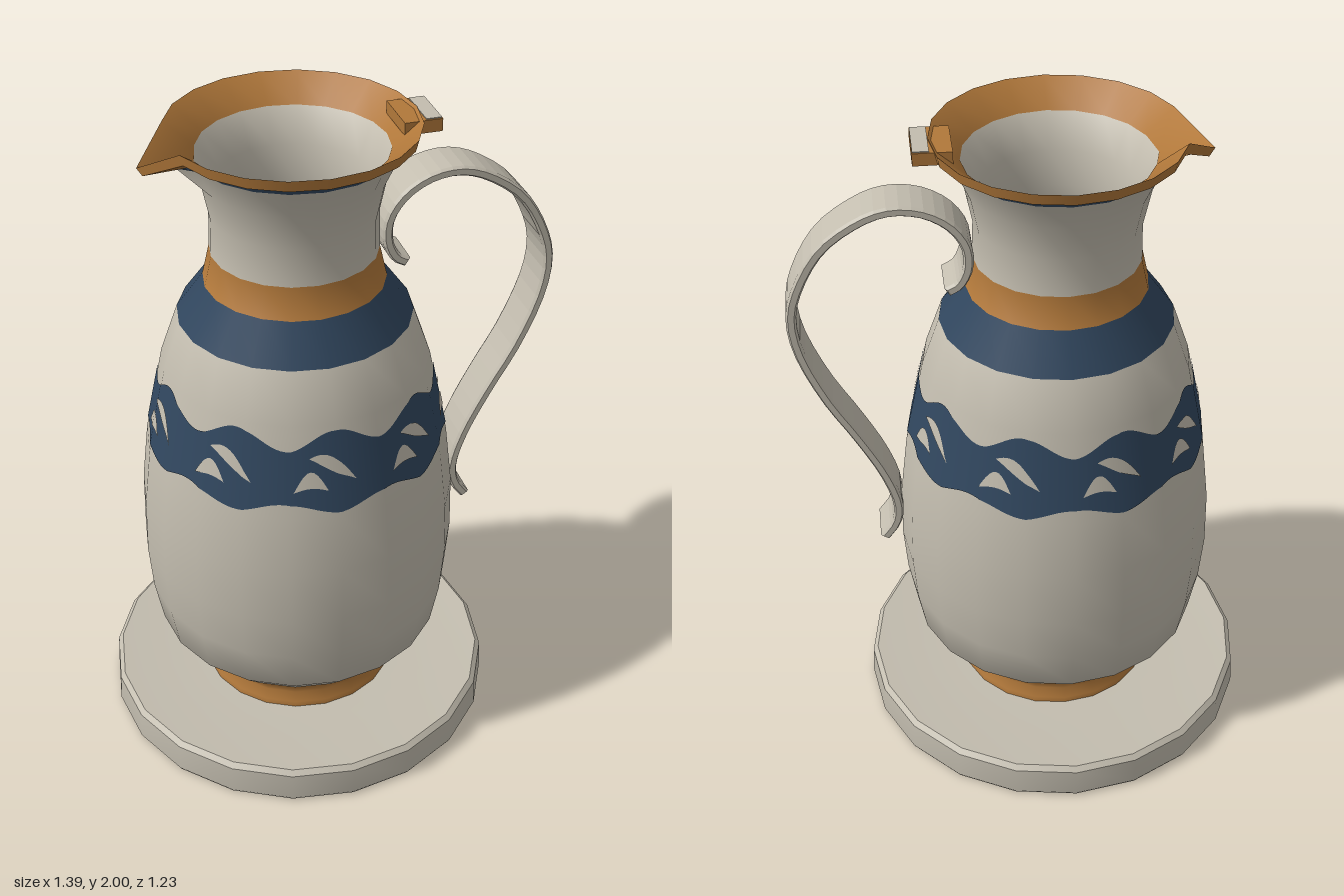
import * as THREE from 'three';

const AXIS = -0.085, SIDES = 20, STEP = (Math.PI * 2) / SIDES;
const mat = (name, color) => Object.assign(new THREE.MeshStandardMaterial({ color }), { name });

// Jug profile from foot, up the outside, over the rim and down the inside.
// Third value: colour of the stretch that starts here (0 clay, 1 ochre, 2 blue).
const PROFILE = [
  [0.31, 0.09, 1], [0.31, 0.12, 1], [0.29, 0.145, 1], [0.302, 0.18, 2], [0.35, 0.225, 0],
  [0.45, 0.33, 0], [0.475, 0.47, 0], [0.486, 0.62, 0], [0.481, 0.8, 0], [0.458, 0.99, 0],
  [0.398, 1.27, 0], [0.345, 1.42, 2], [0.265, 1.53, 1], [0.243, 1.625, 0], [0.24, 1.74, 0],
  [0.262, 1.85, 0], [0.3, 1.935, 2], [0.312, 1.955, 2], [0.312, 1.955, 1], [0.347, 1.967, 1],
  [0.347, 1.967, 1], [0.355, 2.0, 1], [0.355, 2.0, 1], [0.27, 1.93, 0], [0.222, 1.83, 0],
  [0.215, 1.72, 0], [0.22, 1.6, 0], [0.31, 1.42, 0], [0.42, 1.0, 0], [0.45, 0.65, 0],
  [0.41, 0.34, 0], [0.27, 0.22, 0], [0.001, 0.2, 0],
];

const lathe = (pts) => new THREE.LatheGeometry(pts.map(([r, y]) => new THREE.Vector2(r, y)), SIDES);

// One lathe whose rows are grouped by colour; the rim is pulled out to a spout on -x.
function jugGeometry() {
  const geo = lathe(PROFILE), n = PROFILE.length;
  const index = [];
  for (let c = 0; c < 3; c++) {
    const start = index.length;
    for (let j = 0; j < n - 1; j++) {
      const [r, y, colour] = PROFILE[j], [r2, y2] = PROFILE[j + 1];
      if (colour !== c || (r === r2 && y === y2)) continue;
      for (let i = 0; i < SIDES; i++) {
        const a = i * n + j, b = a + n;
        index.push(a, b, a + 1, b + 1, a + 1, b);
      }
    }
    geo.addGroup(start, index.length - start, c);
  }
  geo.setIndex(index);
  const pos = geo.attributes.position, spout = SIDES * 0.75;
  PROFILE.forEach(([r, y], j) => {
    if (y < 1.9) return;
    const k = Math.max(0.1, (r - 0.27) / 0.085);
    pos.setXYZ(spout * n + j, -(r + 0.08 * k), y - 0.075 * k, 0);
  });
  return geo;
}

// Radius of the belly's straight stretch at height y, on its flat-sided outline.
const SLOPE = (0.458 - 0.398) / 0.28;
function bellyRadius(angle, y) {
  const local = (((angle % STEP) + STEP) % STEP) - STEP / 2;
  return (0.458 - (y - 0.99) * SLOPE) * Math.cos(STEP / 2) / Math.cos(local);
}

// Thin painted strip on the belly; low(t) and high(t) give its edges along the angle.
function paintStrip(a0, a1, count, lift, low, high) {
  const position = [], normal = [], index = [];
  for (let i = 0; i <= count; i++) {
    const t = i / count, a = a0 + (a1 - a0) * t;
    for (const y of [low(t), high(t)]) {
      const r = bellyRadius(a, y) + lift;
      position.push(r * Math.sin(a), y, r * Math.cos(a));
      const len = Math.hypot(1, SLOPE);
      normal.push(Math.sin(a) / len, SLOPE / len, Math.cos(a) / len);
    }
    if (i < count) {
      const k = i * 2;
      index.push(k, k + 2, k + 1, k + 3, k + 1, k + 2);
    }
  }
  const geo = new THREE.BufferGeometry();
  geo.setAttribute('position', new THREE.Float32BufferAttribute(position, 3));
  geo.setAttribute('normal', new THREE.Float32BufferAttribute(normal, 3));
  geo.setIndex(index);
  return geo;
}

// Curled strap handle: a curve thickened sideways and extruded across z.
function handleGeometry() {
  const path = new THREE.SplineCurve([
    [0.23, 1.553], [0.197, 1.575], [0.174, 1.63], [0.18, 1.7], [0.225, 1.765], [0.3, 1.808],
    [0.39, 1.817], [0.48, 1.785], [0.58, 1.71], [0.648, 1.6], [0.679, 1.49], [0.662, 1.36],
    [0.598, 1.2], [0.52, 1.06], [0.45, 0.92], [0.412, 0.8], [0.418, 0.72], [0.455, 0.662],
  ].map(([x, y]) => new THREE.Vector2(x, y)));
  const outer = [], inner = [];
  for (let i = 0; i <= 48; i++) {
    const p = path.getPoint(i / 48), d = path.getTangent(i / 48);
    const side = new THREE.Vector2(-d.y, d.x).multiplyScalar(0.009);
    outer.push(p.clone().add(side));
    inner.unshift(p.clone().sub(side));
  }
  const geo = new THREE.ExtrudeGeometry(new THREE.Shape([...outer, ...inner]), {
    depth: 0.126, bevelEnabled: true, bevelSize: 0.006, bevelThickness: 0.01, bevelSegments: 1,
  });
  return geo.translate(0, 0, -0.063);
}

export function createModel() {
  const clay = mat('clay', 0xc3bdaf), ochre = mat('ochre', 0xb1783a), blue = mat('blue', 0x31475f);
  const model = new THREE.Group();
  model.name = 'jugOnPlate';
  const add = (parent, name, geo, material, x = 0, y = 0, z = 0) => {
    const mesh = new THREE.Mesh(geo, material);
    mesh.name = name;
    mesh.position.set(x, y, z);
    parent.add(mesh);
    return mesh;
  };

  // Everything turned about the jug's own axis
  const turned = new THREE.Group();
  turned.name = 'jug';
  turned.position.x = AXIS;
  model.add(turned);
  add(turned, 'plate', lathe([
    [0, 0], [0.608, 0], [0.608, 0], [0.615, 0.012], [0.61, 0.1], [0.61, 0.1], [0.595, 0.115],
    [0.595, 0.115], [0.45, 0.103], [0.3, 0.1], [0, 0.1],
  ]), clay);
  add(turned, 'body', jugGeometry(), [clay, ochre, blue]);

  // Wavy painted band with two pale leaves in each wave
  const waves = 9, deg = Math.PI / 180;
  const wave = (t) => Math.cos(t * waves * Math.PI * 2);
  add(turned, 'waveBand', paintStrip(0, Math.PI * 2, 180, 0.003,
    (t) => 1.02 - 0.016 * wave(t), (t) => 1.225 + 0.028 * wave(t)), blue);
  for (let i = 0; i < waves; i++) {
    const mid = (i * 360) / waves;
    add(turned, 'lowerLeaf', paintStrip((mid - 17) * deg, (mid - 4) * deg, 10, 0.006,
      (t) => 1.075 + 0.01 * Math.sin(Math.PI * t),
      (t) => 1.075 + 0.06 * Math.sin(Math.PI * t)), clay);
    const arch = (t) => 1.175 - 0.08 * t * t;
    const half = (t) => 0.022 * Math.sin(Math.PI * t);
    add(turned, 'upperLeaf', paintStrip((mid - 11) * deg, (mid + 7) * deg, 12, 0.006,
      (t) => arch(t) - half(t), (t) => arch(t) + half(t)), clay);
  }

  add(model, 'handle', handleGeometry(), clay);

  // Thumb tab on the rim, with a bare top at its outer end
  add(model, 'rimTab', new THREE.BoxGeometry(0.11, 0.037, 0.155), ochre, 0.262, 1.9745, 0.005);
  add(model, 'rimTabTop', new THREE.BoxGeometry(0.045, 0.004, 0.145), clay, 0.293, 1.994, 0.005);
  return model;
}
